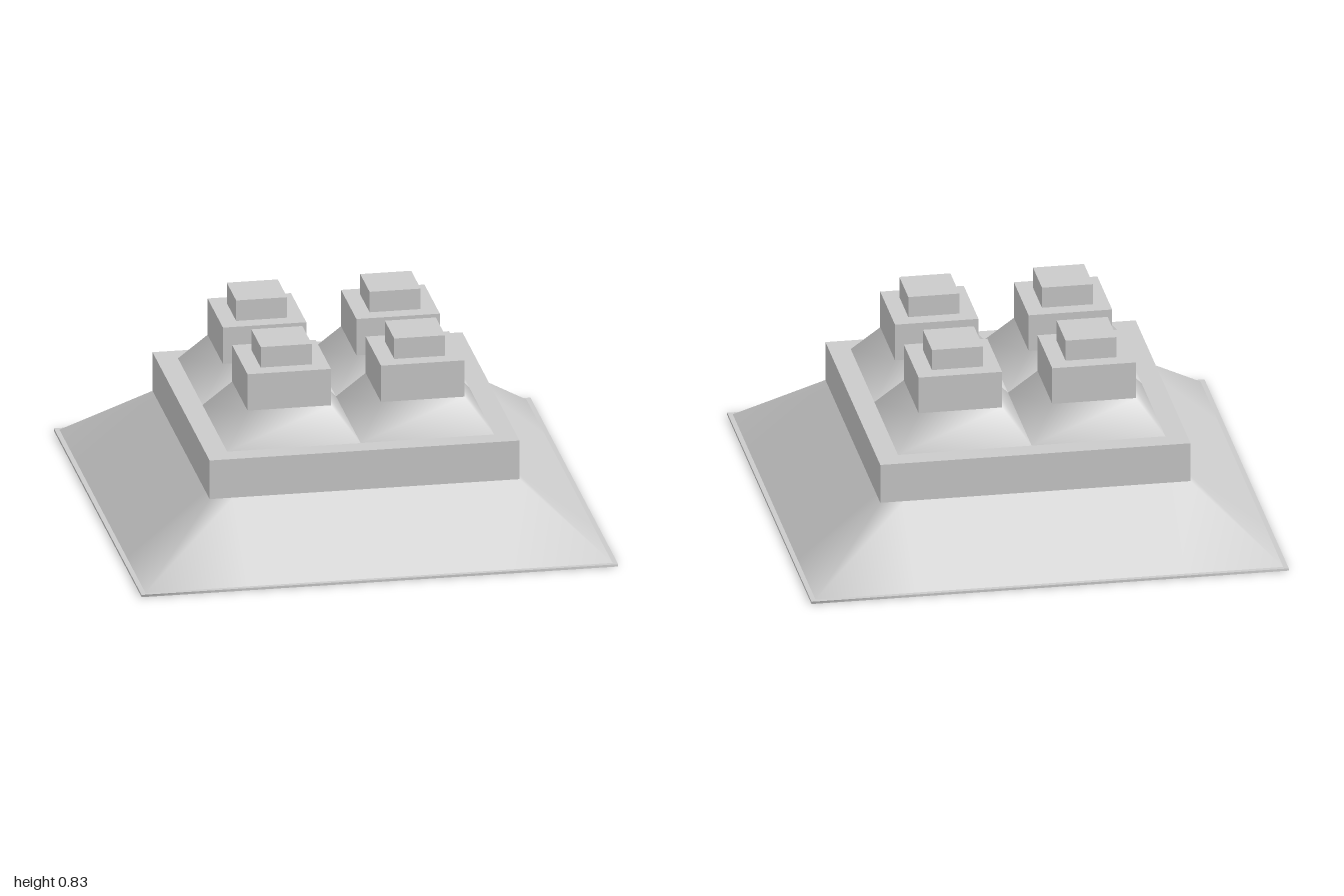
import * as THREE from 'three';
import { mergeGeometries } from 'three/addons/utils/BufferGeometryUtils.js';

const material = new THREE.MeshStandardMaterial({ color: 0xcccccc });
const thin = new THREE.MeshStandardMaterial({ color: 0xcccccc, side: THREE.DoubleSide });

function add(parent, name, geometry, mat = material) {
  const mesh = new THREE.Mesh(geometry, mat);
  mesh.name = name;
  parent.add(mesh);
  return mesh;
}

// Band between two square rings [halfWidth, y]; normals blend around the corners.
// With a split, each side gets extra points at +-split so that its middle stays flat.
function squareBand(lower, upper, split = 0) {
  const positions = [], indices = [];
  const corners = [[1, 1], [1, -1], [-1, -1], [-1, 1]];
  for (const [half, y] of [lower, upper]) {
    corners.forEach(([x, z], i) => {
      const [nx, nz] = corners[(i + 1) % 4];
      positions.push(x * half, y, z * half);
      if (split) {
        for (const end of [[x, z], [nx, nz]]) {
          positions.push(
            x === nx ? x * half : end[0] * split, y,
            z === nz ? z * half : end[1] * split);
        }
      }
    });
  }
  const n = positions.length / 6;
  for (let i = 0; i < n; i++) {
    const j = (i + 1) % n;
    indices.push(i, j, n + j, i, n + j, n + i);
  }
  const geometry = new THREE.BufferGeometry();
  geometry.setAttribute('position', new THREE.Float32BufferAttribute(positions, 3));
  geometry.setIndex(indices);
  geometry.computeVertexNormals();
  return geometry;
}

// Chain of bands with a crease at every ring
function squareProfile(rings, split) {
  return mergeGeometries(rings.slice(1).map((ring, i) => squareBand(rings[i], ring, split)));
}

function square(ShapeType, half) {
  return new ShapeType([[-1, -1], [1, -1], [1, 1], [-1, 1]]
    .map(([x, y]) => new THREE.Vector2(x * half, y * half)));
}

function box(parent, name, size, bottom, top) {
  const mesh = add(parent, name, new THREE.BoxGeometry(size, top - bottom, size));
  mesh.position.y = (bottom + top) / 2;
}

export function createModel() {
  const model = new THREE.Group();
  model.name = 'tieredRoof';

  // Wide sloping skirt: thin shell, open underneath
  add(model, 'skirt', squareProfile(
    [[0.98, 0], [1, 0], [1, 0.01], [0.98, 0.01], [0.65, 0.28]], 0.55));
  add(model, 'skirtUnderside', squareBand([0.65, 0.275], [0.98, 0], 0.55));

  // Square frame above the skirt, open in the middle
  const outline = square(THREE.Shape, 0.65);
  outline.holes.push(square(THREE.Path, 0.56));
  const frame = new THREE.ExtrudeGeometry(outline, { depth: 0.17, bevelEnabled: false });
  add(model, 'frame', frame.rotateX(-Math.PI / 2).translate(0, 0.28, 0));

  // Four hollow spires, each a walled cell, a sloped base and two stacked blocks
  for (const x of [-0.28, 0.28]) {
    for (const z of [-0.28, 0.28]) {
      const spire = new THREE.Group();
      spire.name = 'spire';
      spire.position.set(x, 0, z);
      const cell = squareBand([0.28, 0.28], [0.28, 0.45]).toNonIndexed();
      cell.computeVertexNormals();
      add(spire, 'cellWalls', cell, thin);
      add(spire, 'slopedBase', squareBand([0.28, 0.45], [0.175, 0.585]), thin);
      box(spire, 'lowerBlock', 0.35, 0.585, 0.745);
      box(spire, 'capBlock', 0.214, 0.745, 0.835);
      model.add(spire);
    }
  }
  return model;
}
